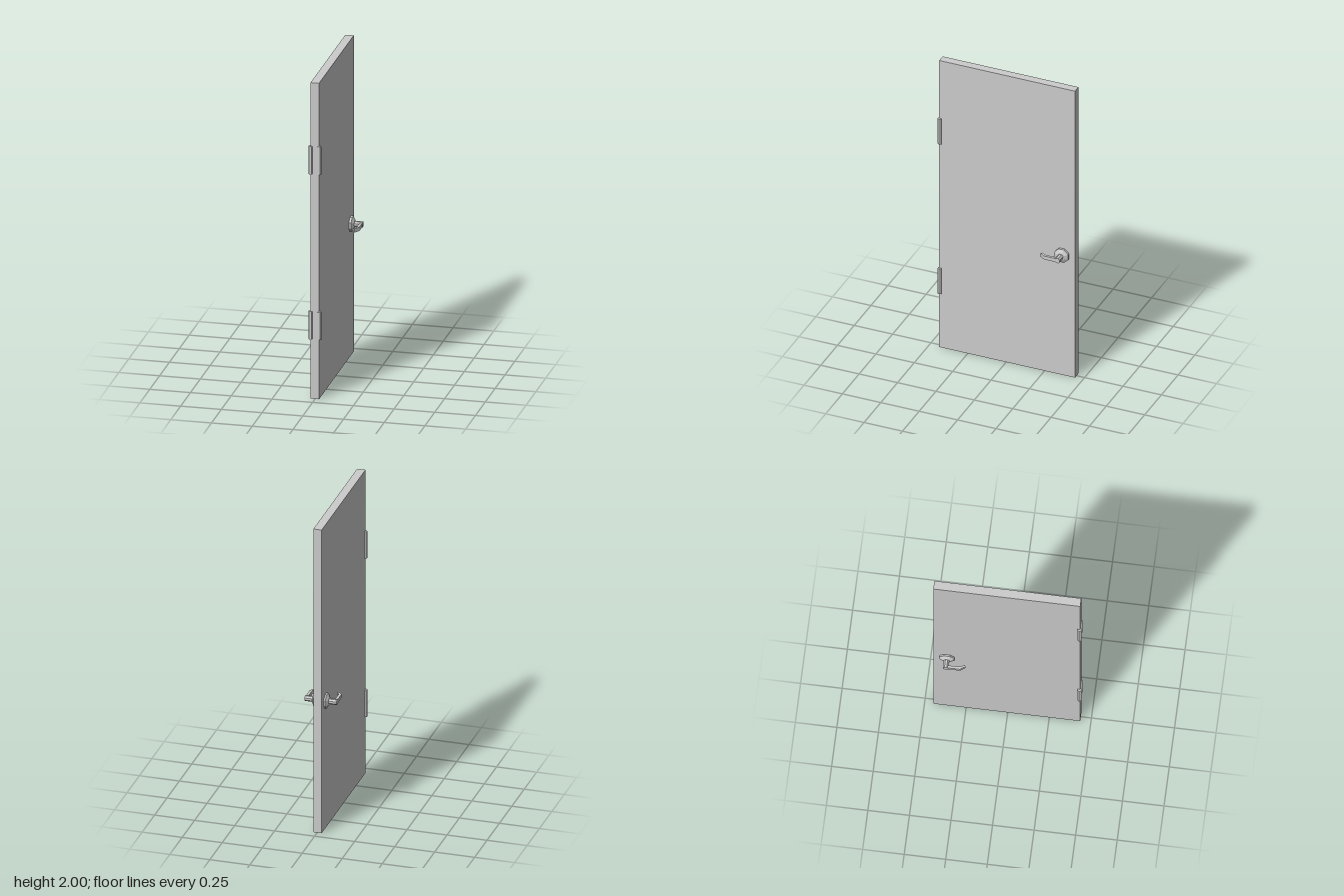
import * as THREE from 'three';

const grey = new THREE.MeshStandardMaterial({ color: 0xcccccc, flatShading: true });
const HANDLE_Y = 0.838, HANDLE_Z = -0.365;

function add(parent, name, geometry, x = 0, y = 0, z = 0) {
  const mesh = new THREE.Mesh(geometry, grey);
  mesh.name = name;
  mesh.position.set(x, y, z);
  parent.add(mesh);
}

// Octagonal section lying along x, pointing outwards on the given side
function collar(parent, name, side, rInner, rOuter, x0, x1) {
  const geometry = new THREE.CylinderGeometry(rOuter, rInner, x1 - x0, 8, 1, false, Math.PI / 8);
  geometry.rotateZ(-side * Math.PI / 2);
  add(parent, name, geometry, side * (x0 + x1) / 2, 0, 0);
}

function makeHandle(side) {
  const handle = new THREE.Group();
  handle.name = side > 0 ? 'leftHandle' : 'rightHandle';
  handle.position.set(0, HANDLE_Y, HANDLE_Z);

  // Round plate with a sloped rim, then the stem
  collar(handle, 'rosette', side, 0.048, 0.048, 0.02, 0.038);
  collar(handle, 'rosetteBevel', side, 0.048, 0.026, 0.038, 0.05);
  collar(handle, 'stem', side, 0.018, 0.018, 0.05, 0.1);

  // Lever bends back towards the door at its tip
  const outline = [
    [0.083, 0], [0.099, 0], [0.099, 0.086], [0.078, 0.117], [0.067, 0.111], [0.083, 0.082],
  ].map(([x, z]) => new THREE.Vector2(side * x, z));
  const lever = new THREE.ExtrudeGeometry(new THREE.Shape(outline), { depth: 0.024, bevelEnabled: false });
  lever.rotateX(Math.PI / 2);
  add(handle, 'lever', lever, 0, 0.012, 0);
  return handle;
}

export function createModel() {
  const door = new THREE.Group();
  door.name = 'door';

  // Door leaf
  add(door, 'panel', new THREE.BoxGeometry(0.052, 2, 0.884), -0.002, 1, -0.006);

  for (const side of [1, -1]) {
    door.add(makeHandle(side));

    // Hexagonal hinge barrels on both faces
    for (const y of [0.465, 1.51]) {
      const barrel = new THREE.CylinderGeometry(0.0135, 0.0135, 0.176, 6, 1, false, Math.PI / 2);
      add(door, 'hingeBarrel', barrel, -0.002 + side * 0.0265, y, 0.432);
    }
  }
  return door;
}
